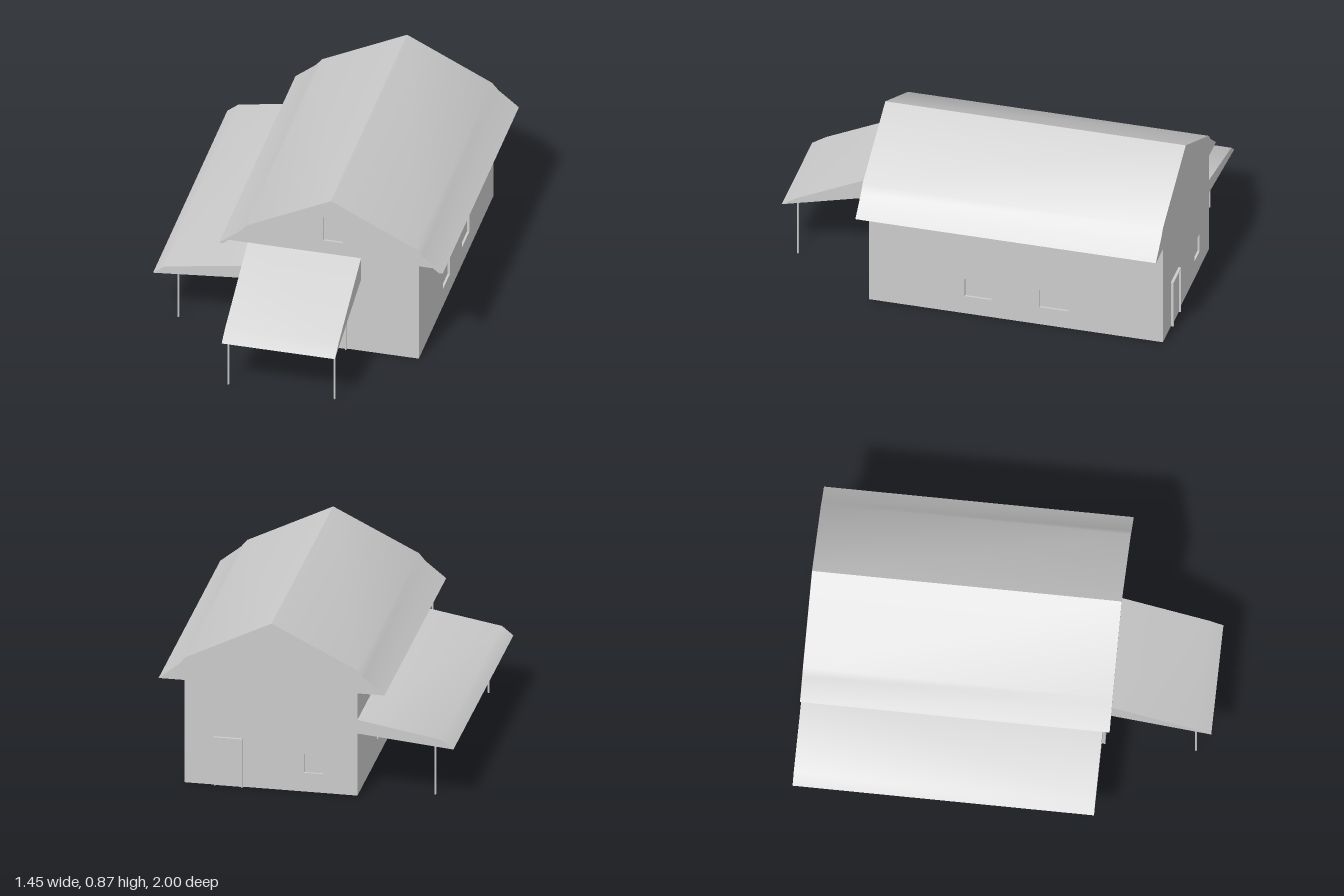
import * as THREE from 'three';
import { toCreasedNormals } from 'three/addons/utils/BufferGeometryUtils.js';

const MAT = new THREE.MeshStandardMaterial({ color: 0xcccccc, side: THREE.DoubleSide });
const LEFT = -0.255, RIGHT = 0.598, FRONT = 0.485, BACK = -0.985, EAVE = 0.535, MID = 0.1685;

const mesh = (name, geometry) => {
  const m = new THREE.Mesh(geometry, MAT);
  m.name = name;
  return m;
};
const shapeOf = pts => new THREE.Shape(pts.map(p => new THREE.Vector2(p[0], p[1])));
const rect = (x0, y0, x1, y1) => [[x0, y0], [x1, y0], [x1, y1], [x0, y1]];

// Open strip swept from z0 to z1, smooth over gentle bends
function strip(pts, z0, z1) {
  const pos = [], idx = [];
  pts.forEach(([x, y]) => pos.push(x, y, z0, x, y, z1));
  for (let i = 0; i < pts.length - 1; i++) {
    const a = i * 2;
    idx.push(a, a + 1, a + 2, a + 1, a + 3, a + 2);
  }
  const g = new THREE.BufferGeometry();
  g.setAttribute('position', new THREE.Float32BufferAttribute(pos, 3));
  g.setIndex(idx);
  return toCreasedNormals(g, 0.6);
}

// Hollow wedge roof, open towards the house: swept skin plus two end caps
function wedgeRoof(name, pts, z0, z1) {
  const group = new THREE.Group();
  group.name = name;
  group.add(mesh(name + 'Skin', strip(pts, z0, z1)));
  for (const z of [z0, z1]) {
    const cap = mesh(name + 'End', new THREE.ShapeGeometry(shapeOf(pts)));
    cap.position.z = z;
    group.add(cap);
  }
  return group;
}

// Frame ring around a rectangle; depth runs along local z
function ring(r, width, depth, openBottom) {
  const [x0, y0, x1, y1] = r, w = width;
  let s;
  if (openBottom) {
    s = shapeOf([[x0, y0], [x0 + w, y0], [x0 + w, y1 - w], [x1 - w, y1 - w],
      [x1 - w, y0], [x1, y0], [x1, y1], [x0, y1]]);
  } else {
    s = shapeOf(rect(...r));
    s.holes.push(shapeOf(rect(x0 + w, y0 + w, x1 - w, y1 - w)));
  }
  return new THREE.ExtrudeGeometry(s, { depth, bevelEnabled: false });
}

// Flat wall with recessed windows, raised doors and plain holes
function wall(name, outline, { windows = [], doors = [], holes = [] }) {
  const group = new THREE.Group();
  group.name = name;
  const s = shapeOf(outline);
  for (const r of [...windows, ...holes]) s.holes.push(shapeOf(rect(...r)));
  group.add(mesh(name + 'Panel', new THREE.ShapeGeometry(s)));
  for (const r of windows) {
    const frame = mesh('windowFrame', ring(r, 0.003, 0.012));
    const pane = mesh('windowPane', new THREE.ShapeGeometry(shapeOf(rect(...r))));
    frame.position.z = -0.012;
    pane.position.z = -0.0115;
    group.add(frame, pane);
  }
  for (const r of doors) {
    const leaf = mesh('doorLeaf', new THREE.ShapeGeometry(shapeOf(rect(...r))));
    leaf.position.z = 0.004;
    group.add(mesh('doorFrame', ring(r, 0.007, 0.014, true)), leaf);
  }
  return group;
}

export function createModel() {
  const house = new THREE.Group();
  house.name = 'house';

  // Roof profiles: half widths from the ridge line, and heights
  const outerHalf = [[0.557, EAVE], [0.455, 0.617], [0.423, 0.655], [0, 0.865]];
  const innerHalf = [[0.538, EAVE], [0.452, 0.606], [0.42, 0.642], [0, 0.85]];
  const full = half => [
    ...half.map(([d, y]) => [MID + d, y]),
    ...half.slice(0, -1).reverse().map(([d, y]) => [MID - d, y]),
  ];
  const outer = full(outerHalf), inner = full(innerHalf);
  const roof = mesh('mainRoof', toCreasedNormals(new THREE.ExtrudeGeometry(
    shapeOf([...outer, ...inner.reverse()]), { depth: 0.52 - BACK - 0.001, bevelEnabled: false }), 0.6));
  roof.position.z = BACK + 0.001;
  house.add(roof);

  // Flat soffits under both eaves
  house.add(mesh('leftSoffit', strip([[MID - 0.55, EAVE], [LEFT, EAVE]], BACK, FRONT)));
  house.add(mesh('rightSoffit', strip([[RIGHT, EAVE], [MID + 0.55, EAVE]], BACK, FRONT)));

  // Gable walls reach out to the eaves
  const gable = [[LEFT, 0], [RIGHT, 0], [RIGHT, EAVE], ...outer, [LEFT, EAVE]];
  const front = wall('frontWall', gable, {
    windows: [[0.12, 0.605, 0.22, 0.745]],
    doors: [[0.1, 0, 0.24, 0.253]],
    holes: [[LEFT + 0.001, 0.412, 0.31, EAVE - 0.001]],
  });
  front.position.z = FRONT;
  const back = wall('backWall', gable.map(([x, y]) => [-x, y]).reverse(), {
    windows: [[-0.012, 0.095, 0.088, 0.2]],
    doors: [[-0.45, 0, -0.31, 0.253]],
  });
  back.rotation.y = Math.PI;
  back.position.z = BACK;

  // Side walls, each with two windows
  const right = wall('rightWall', rect(-FRONT, 0, -BACK, EAVE), {
    windows: [[-0.01, 0.095, 0.13, 0.2], [0.365, 0.095, 0.515, 0.2]],
  });
  right.rotation.y = Math.PI / 2;
  right.position.x = RIGHT;
  const left = wall('leftWall', rect(BACK, 0, FRONT, EAVE), {
    windows: [[-0.13, 0.095, 0.01, 0.2], [-0.515, 0.095, -0.365, 0.2]],
    holes: [[BACK + 0.001, 0.326, 0.48, 0.395]],
  });
  left.rotation.y = -Math.PI / 2;
  left.position.x = LEFT;
  house.add(front, back, right, left);

  // Side shelter roof
  house.add(wedgeRoof('sideShelter',
    [[LEFT, 0.325], [-0.728, 0.28], [-0.672, 0.325], [LEFT, 0.397]], BACK, 0.48));

  // Front porch roof, its profile turned to run along z
  const porch = wedgeRoof('frontPorch',
    [[-FRONT, 0.412], [-1, 0.28], [-0.93, 0.325], [-FRONT, EAVE]], LEFT, 0.31);
  porch.rotation.y = Math.PI / 2;
  house.add(porch);

  // Thin posts
  for (const [name, x, z] of [
    ['sidePost', -0.62, -0.89], ['sidePost', -0.62, 0.41],
    ['frontPost', -0.24, 0.925], ['frontPost', 0.29, 0.925],
  ]) {
    const post = mesh(name, new THREE.CylinderGeometry(0.005, 0.005, 0.295, 8));
    post.position.set(x, 0.1475, z);
    house.add(post);
  }
  return house;
}
